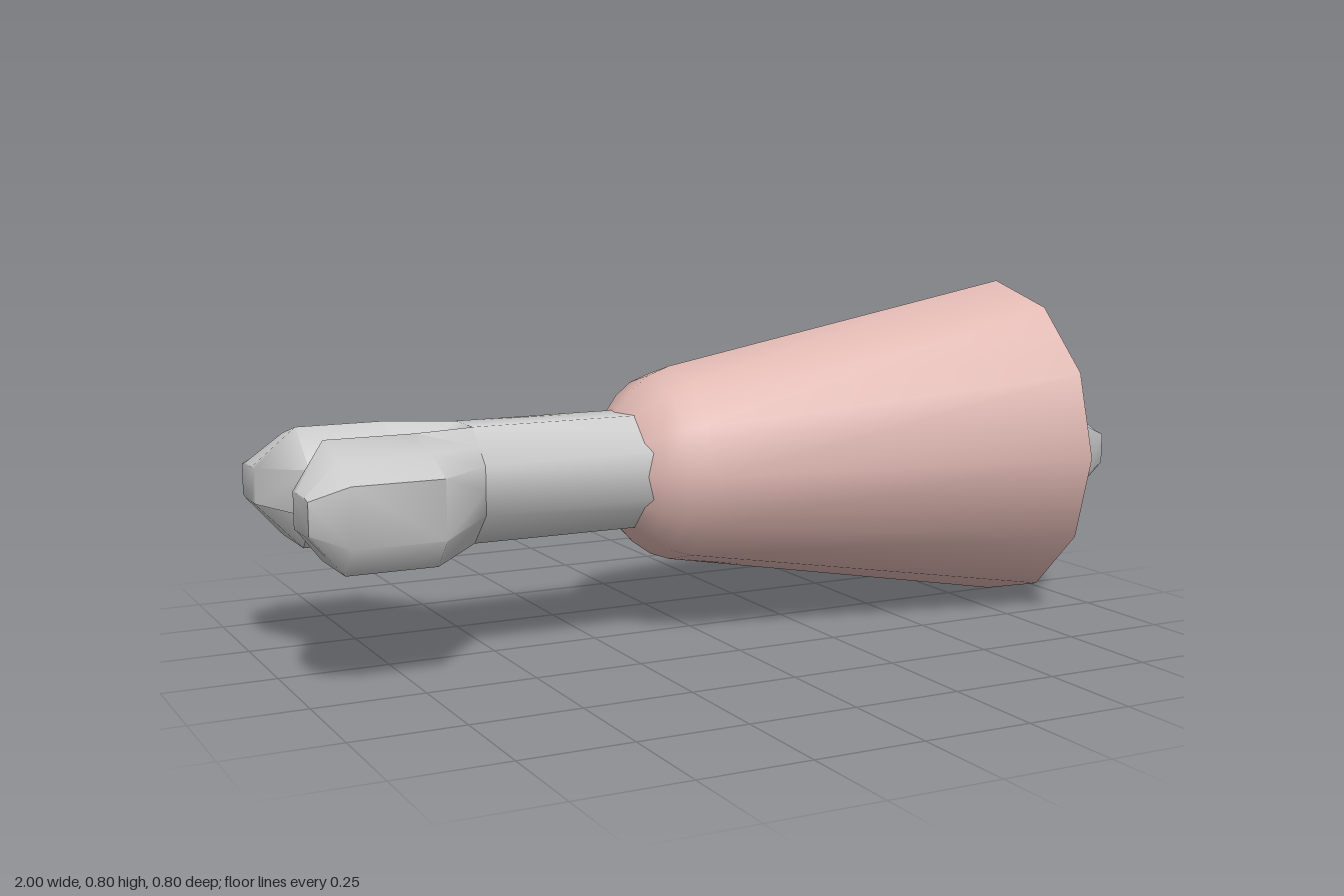
import * as THREE from 'three';
import { toCreasedNormals } from 'three/addons/utils/BufferGeometryUtils.js';

const AXIS_Y = 0.4, BONE_Z = 0.0175;

// Cross-sections of one knob lobe as [z, y] offsets, running from the shaft to the tip
const SECTIONS = [
  { x: -0.57, ring: [[0, 0.13], [0, -0.13], [0.054, -0.13], [0.13, -0.054], [0.13, 0], [0.13, 0.054], [0.092, 0.092], [0.054, 0.13]] },
  { x: -0.72, ring: [[0, 0.053], [0, -0.05], [0.07, -0.13], [0.24, -0.13], [0.298, -0.065], [0.298, 0.065], [0.215, 0.105], [0.105, 0.133]] },
  { x: -0.92, ring: [[0, 0.053], [0, -0.05], [0.07, -0.13], [0.24, -0.13], [0.298, -0.065], [0.298, 0.065], [0.215, 0.105], [0.105, 0.133]] },
  { x: -1, ring: [[0.155, 0.04], [0.155, -0.04], [0.18, -0.04], [0.24, -0.04], [0.265, -0.035], [0.265, 0.035], [0.24, 0.04], [0.18, 0.04]] },
];

// Lofts the lobe; side = -1 mirrors it in z and reverses the winding
function lobeGeometry(side) {
  const n = SECTIONS[0].ring.length;
  const positions = [], index = [];
  const tri = (a, b, c) => (side > 0 ? index.push(a, b, c) : index.push(a, c, b));
  for (const { x, ring } of SECTIONS) {
    for (const [z, y] of ring) positions.push(x, y, z * side);
  }
  for (let i = 0; i < SECTIONS.length - 1; i++) {
    for (let j = 0; j < n; j++) {
      const k = (j + 1) % n;
      const a = i * n + j, b = i * n + k, c = b + n, d = a + n;
      tri(a, b, c);
      tri(a, c, d);
    }
  }
  const tip = (SECTIONS.length - 1) * n;
  for (let j = 1; j < n - 1; j++) tri(tip, tip + j, tip + j + 1);
  const geometry = new THREE.BufferGeometry();
  geometry.setAttribute('position', new THREE.Float32BufferAttribute(positions, 3));
  geometry.setIndex(index);
  return toCreasedNormals(geometry, 0.95);
}

export function createModel() {
  const model = new THREE.Group();
  model.name = 'meatOnBone';
  const boneMaterial = new THREE.MeshStandardMaterial({ color: 0xcccccc });
  const meatMaterial = new THREE.MeshStandardMaterial({ color: 0xe0b8b2 });

  // Meat: twelve-sided cone with a rounded narrow end and a flat cut face
  const profile = [
    [0, -0.24], [0.07, -0.23], [0.13, -0.195], [0.18, -0.15],
    [0.212, -0.105], [0.23, -0.055], [0.4, 0.875], [0, 0.875],
  ].map(([r, x]) => new THREE.Vector2(r, x));
  const meatGeometry = new THREE.LatheGeometry(profile, 12);
  meatGeometry.rotateZ(-Math.PI / 2);
  const meat = new THREE.Mesh(toCreasedNormals(meatGeometry, 0.8), meatMaterial);
  meat.name = 'meat';
  meat.position.y = AXIS_Y;
  model.add(meat);

  const bone = new THREE.Group();
  bone.name = 'bone';
  bone.position.set(0, AXIS_Y, BONE_Z);
  model.add(bone);

  // Shaft: octagonal rod with flats at top, bottom and sides
  const shaftGeometry = new THREE.CylinderGeometry(0.1407, 0.1407, 1.14, 8, 1, true);
  shaftGeometry.rotateY(Math.PI / 8);
  shaftGeometry.rotateZ(Math.PI / 2);
  const shaft = new THREE.Mesh(toCreasedNormals(shaftGeometry, 0.95), boneMaterial);
  shaft.name = 'boneShaft';
  bone.add(shaft);

  // Knobs: two lobes at each end
  const lobes = [lobeGeometry(1), lobeGeometry(-1)];
  ['rightKnob', 'leftKnob'].forEach((name, end) => {
    const knob = new THREE.Group();
    knob.name = name;
    knob.rotation.y = end * Math.PI;
    lobes.forEach((geometry, i) => {
      const lobe = new THREE.Mesh(geometry, boneMaterial);
      lobe.name = `${name}Lobe${i + 1}`;
      knob.add(lobe);
    });
    bone.add(knob);
  });

  return model;
}
